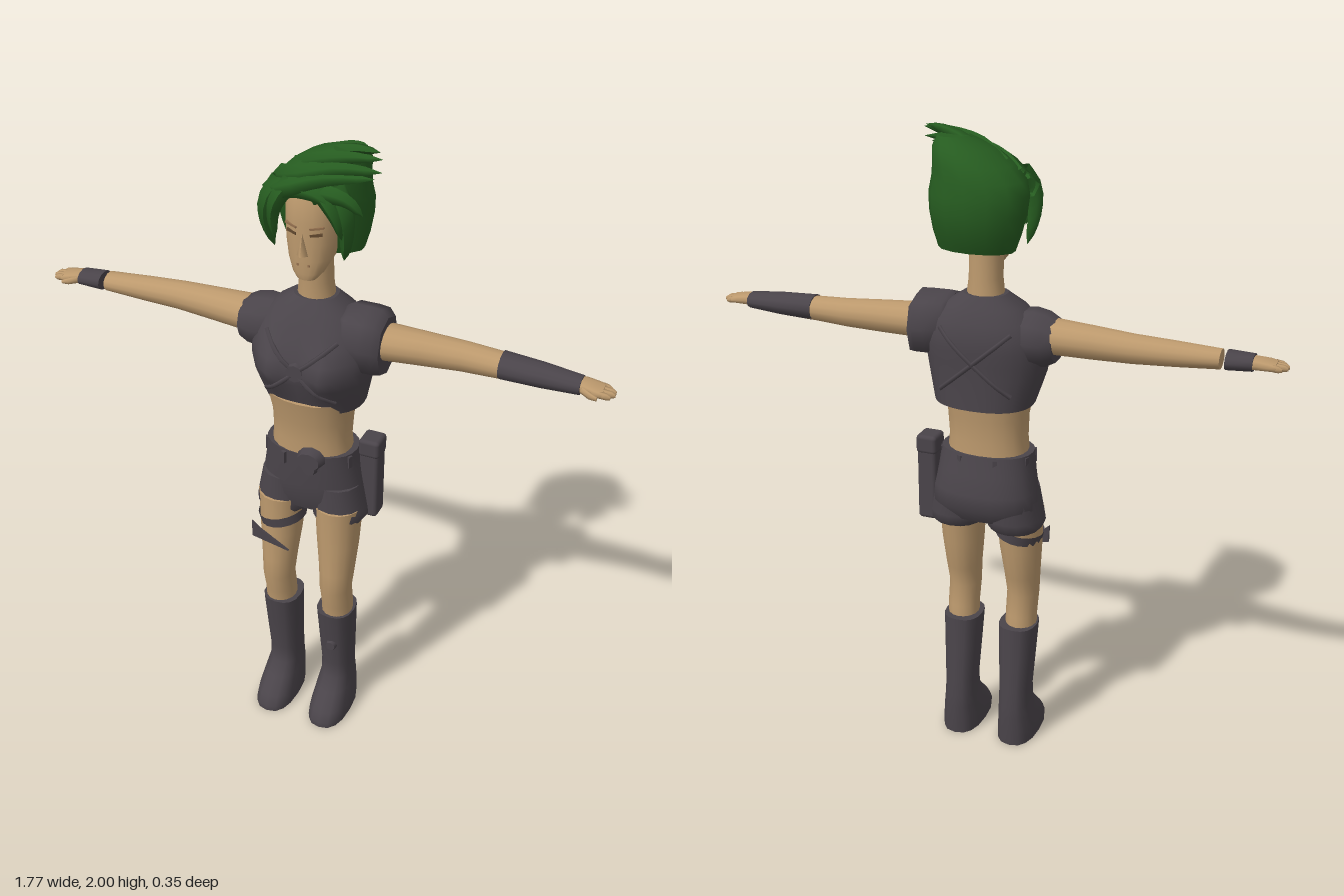
import * as THREE from 'three';
import { RoundedBoxGeometry } from 'three/addons/geometries/RoundedBoxGeometry.js';

const mat = (name, color, opts = {}) => {
  const m = new THREE.MeshStandardMaterial({ color, ...opts });
  m.name = name;
  return m;
};

// Loft through rings [y, cx, cz, rx, rz]; p is the squareness of the section
function loft(rings, n = 16, p = 2) {
  const pos = [], idx = [];
  const e = (v) => Math.sign(v) * Math.abs(v) ** (2 / p);
  const ring = ([y, cx, cz, rx, rz]) => {
    const start = pos.length / 3;
    for (let j = 0; j < n; j++) {
      const a = (j / n) * Math.PI * 2;
      pos.push(cx + rx * e(Math.sin(a)), y, cz + rz * e(Math.cos(a)));
    }
    return start;
  };
  rings.forEach((r, i) => {
    const s = ring(r);
    if (!i) return;
    for (let j = 0; j < n; j++) {
      const k = (j + 1) % n;
      idx.push(s - n + j, s - n + k, s + j, s - n + k, s + k, s + j);
    }
  });
  // caps with their own corners, so the rims stay sharp
  [rings[0], rings[rings.length - 1]].forEach((r, top) => {
    const s = ring(r), c = pos.length / 3;
    pos.push(r[1], r[0], r[2]);
    for (let j = 0; j < n; j++) {
      const k = (j + 1) % n;
      top ? idx.push(s + j, s + k, c) : idx.push(s + k, s + j, c);
    }
  });
  const g = new THREE.BufferGeometry();
  g.setAttribute('position', new THREE.Float32BufferAttribute(pos, 3));
  g.setIndex(idx);
  g.computeVertexNormals();
  return g;
}

// Loft along x on one side; rings [x, cy, cz, ry, rz]
const sideLoft = (s, rings, n, p) =>
  loft(rings.map(([x, cy, cz, ry, rz]) => [x, -s * cy, cz, ry, rz]), n, p).rotateZ(-s * Math.PI / 2);

// Tapered lock of hair along a curve
function lock(points, w) {
  const curve = new THREE.CatmullRomCurve3(points.map((q) => new THREE.Vector3(...q)));
  const segs = 8, sides = 5, g = new THREE.TubeGeometry(curve, segs, w, sides);
  const pa = g.attributes.position, v = new THREE.Vector3();
  for (let i = 0; i < pa.count; i++) {
    const t = Math.floor(i / (sides + 1)) / segs, c = curve.getPointAt(t);
    v.fromBufferAttribute(pa, i).sub(c).multiplyScalar(0.02 + 0.98 * Math.sqrt(1 - t)).add(c);
    pa.setXYZ(i, v.x, v.y, v.z);
  }
  g.computeVertexNormals();
  return g;
}

export function createModel() {
  const model = new THREE.Group();
  const skin = mat('skin', 0xbc996d);
  const cloth = mat('dark cloth', 0x4a444a, { side: THREE.DoubleSide });
  const green = mat('green hair', 0x265c20, { side: THREE.DoubleSide });
  const shade = mat('eye brown', 0x62492f);
  const lip = mat('lip', 0x94704f);
  const add = (name, geo, m, x = 0, y = 0, z = 0) => {
    const mesh = new THREE.Mesh(geo, m);
    mesh.name = name;
    mesh.position.set(x, y, z);
    model.add(mesh);
    return mesh;
  };

  // Head, neck and waist
  add('neck', loft([[1.5, 0, -0.025, 0.06, 0.055], [1.58, 0, -0.022, 0.05, 0.052], [1.7, 0, -0.015, 0.05, 0.055]]), skin);
  add('head', loft([
    [1.61, 0, 0.045, 0.028, 0.022], [1.63, 0, 0.03, 0.046, 0.042], [1.67, 0, 0.005, 0.066, 0.068],
    [1.72, 0, -0.012, 0.077, 0.086], [1.78, 0, -0.018, 0.082, 0.092], [1.85, 0, -0.02, 0.08, 0.09],
    [1.9, 0, -0.02, 0.055, 0.06]], 20, 2.2), skin);
  add('nose', new THREE.ConeGeometry(0.017, 0.065, 4), skin, 0, 1.722, 0.076);
  add('mouth', new THREE.BoxGeometry(0.04, 0.007, 0.008), lip, 0, 1.658, 0.067);
  for (const s of [-1, 1]) {
    const eye = add('eye', new THREE.BoxGeometry(0.034, 0.008, 0.008), shade, s * 0.036, 1.752, 0.064);
    eye.rotation.set(0, s * 0.3, s * 0.12);
    const brow = add('brow', new THREE.BoxGeometry(0.04, 0.006, 0.009), lip, s * 0.038, 1.772, 0.064);
    brow.rotation.set(0, s * 0.3, s * 0.15);
  }
  add('waist', loft([[1.0, 0, 0, 0.13, 0.095], [1.08, 0, 0.002, 0.122, 0.092], [1.15, 0.002, 0.004, 0.125, 0.098],
    [1.23, 0.003, 0.008, 0.14, 0.112]], 20, 2.2), skin);

  // Cropped top, with the bust pushed forward
  const topGeo = loft([
    [1.2, 0.004, -0.018, 0.152, 0.117], [1.25, 0.002, -0.01, 0.166, 0.124], [1.3, 0, -0.004, 0.179, 0.13],
    [1.34, 0, -0.003, 0.186, 0.132], [1.38, 0, -0.008, 0.188, 0.13], [1.42, 0, -0.014, 0.18, 0.122],
    [1.46, 0, -0.018, 0.16, 0.107], [1.5, 0, -0.02, 0.12, 0.085], [1.535, 0, -0.023, 0.066, 0.058]], 32, 2.3);
  const tp = topGeo.attributes.position;
  for (let i = 0; i < tp.count; i++) {
    if (tp.getZ(i) < 0.02) continue;
    const dx = (Math.abs(tp.getX(i)) - 0.085) / 0.05, dy = (tp.getY(i) - 1.345) / 0.065;
    tp.setZ(i, tp.getZ(i) + 0.042 * Math.exp(-dx * dx - dy * dy));
  }
  topGeo.computeVertexNormals();
  const top = add('croppedTop', topGeo, cloth);

  // Crossed straps laid on the top, front and back
  const ray = new THREE.Raycaster();
  const onTop = (x, y, s) => {
    ray.set(new THREE.Vector3(x, y, s), new THREE.Vector3(0, 0, -s));
    const hit = ray.intersectObject(top)[0];
    return new THREE.Vector3(x, y, hit ? hit.point.z : s * 0.1);
  };
  for (const s of [1, -1]) for (const d of [-1, 1]) {
    const pts = [-1, -0.66, -0.33, 0, 0.33, 0.66, 1].map((t) => onTop(t * 0.11, 1.345 + t * d * 0.095, s));
    add('chestStrap', new THREE.TubeGeometry(new THREE.CatmullRomCurve3(pts), 12, 0.008, 5), cloth);
  }
  add('chestRing', new THREE.CylinderGeometry(0.027, 0.03, 0.014, 10).rotateX(Math.PI / 2), cloth, 0, 1.345, onTop(0, 1.345, 1).z + 0.003);

  // Sleeves: a small one on the right, a larger pauldron on the left
  add('rightSleeve', sideLoft(-1, [[0.1, 1.42, -0.015, 0.075, 0.08], [0.15, 1.412, -0.015, 0.088, 0.09],
    [0.19, 1.41, -0.015, 0.082, 0.082], [0.222, 1.41, -0.015, 0.064, 0.07]], 10), cloth);
  add('leftPauldron', sideLoft(1, [[0.1, 1.44, -0.015, 0.075, 0.07], [0.115, 1.427, -0.015, 0.098, 0.09],
    [0.17, 1.422, -0.015, 0.102, 0.095], [0.205, 1.42, -0.015, 0.102, 0.09], [0.225, 1.41, -0.015, 0.09, 0.078]], 8, 2.4), cloth);

  // Arms and hands
  const armRings = [[0.12, 1.42, -0.015, 0.055, 0.065], [0.22, 1.422, -0.018, 0.053, 0.064], [0.33, 1.421, -0.025, 0.049, 0.054],
    [0.45, 1.42, -0.032, 0.043, 0.047], [0.57, 1.42, -0.028, 0.037, 0.043], [0.7, 1.42, -0.023, 0.029, 0.036]];
  for (const s of [-1, 1]) {
    const side = s > 0 ? 'left' : 'right';
    add(side + 'Arm', sideLoft(s, armRings, 14), skin);
    add(side + 'Palm', sideLoft(s, [[0.76, 1.42, -0.02, 0.02, 0.028], [0.8, 1.42, -0.018, 0.018, 0.032],
      [0.83, 1.418, -0.014, 0.015, 0.036], [0.852, 1.416, -0.014, 0.012, 0.034]], 10, 2.5), skin);
    [0.87, 0.884, 0.885, 0.875].forEach((tip, i) => {
      const z = -0.038 + i * 0.016;
      add(side + 'Finger', sideLoft(s, [[0.845, 1.417, z, 0.011, 0.009], [tip - 0.01, 1.415, z, 0.01, 0.008], [tip, 1.413, z, 0.005, 0.004]], 6), skin);
    });
    add(side + 'Thumb', sideLoft(s, [[0.79, 1.418, 0, 0.012, 0.012], [0.82, 1.414, 0.02, 0.011, 0.01], [0.842, 1.41, 0.025, 0.006, 0.005]], 6), skin);
  }
  add('leftBracer', sideLoft(1, [[0.56, 1.422, -0.028, 0.039, 0.047], [0.68, 1.42, -0.023, 0.034, 0.044], [0.79, 1.418, -0.018, 0.025, 0.037]], 12), cloth);
  add('rightWristband', sideLoft(-1, [[0.715, 1.42, -0.021, 0.028, 0.041], [0.79, 1.42, -0.018, 0.024, 0.037]], 12), cloth);

  // Shorts
  add('shorts', loft([
    [0.825, 0, -0.015, 0.15, 0.09], [0.87, 0, -0.022, 0.17, 0.112], [0.92, 0, -0.02, 0.164, 0.113],
    [0.98, 0, -0.01, 0.152, 0.106], [1.04, 0, -0.002, 0.145, 0.098]], 24, 2.3), cloth);
  for (const s of [-1, 1]) add('shortsCuff', loft([
    [0.79, s * 0.094, -0.004, 0.08, 0.09], [0.805, s * 0.094, -0.006, 0.089, 0.098],
    [0.83, s * 0.092, -0.01, 0.088, 0.102], [0.92, s * 0.085, -0.012, 0.078, 0.098]], 16, 2.2), cloth);
  for (let i = 0; i < 8; i++) {
    const a = ((i + 0.5) / 8) * Math.PI * 2;
    const loop = add('beltLoop', new THREE.BoxGeometry(0.014, 0.04, 0.012), cloth, 0.147 * Math.sin(a), 1.015, 0.102 * Math.cos(a));
    loop.rotation.y = a;
  }

  // Buckle and hip holster
  add('buckle', new THREE.CylinderGeometry(0.036, 0.046, 0.03, 10).rotateX(Math.PI / 2).scale(1, 0.8, 1), cloth, 0.035, 1.036, 0.108);
  add('buckleDrop', new THREE.CylinderGeometry(0.02, 0.026, 0.024, 8).rotateX(Math.PI / 2), cloth, 0.035, 1.005, 0.106);
  add('holster', new RoundedBoxGeometry(0.062, 0.28, 0.068, 2, 0.012), cloth, 0.178, 0.93, -0.042);
  add('holsterFlap', new RoundedBoxGeometry(0.067, 0.06, 0.074, 2, 0.012), cloth, 0.178, 1.04, -0.042);

  // Legs and boots
  for (const s of [-1, 1]) {
    const side = s > 0 ? 'left' : 'right';
    add(side + 'Leg', loft([
      [0.4, s * 0.1, 0.03, 0.05, 0.055], [0.46, s * 0.1, 0.034, 0.05, 0.056], [0.53, s * 0.1, 0.049, 0.051, 0.058],
      [0.6, s * 0.1, 0.039, 0.056, 0.066], [0.7, s * 0.098, 0.028, 0.066, 0.073], [0.84, s * 0.096, 0.02, 0.075, 0.08]], 16), skin);
    add(side + 'Boot', loft([
      [0, s * 0.097, 0.054, 0.064, 0.122], [0.02, s * 0.097, 0.054, 0.065, 0.123], [0.05, s * 0.097, 0.045, 0.063, 0.114],
      [0.1, s * 0.096, 0.02, 0.057, 0.09], [0.14, s * 0.095, 0.004, 0.051, 0.071], [0.2, s * 0.095, 0.003, 0.05, 0.067],
      [0.32, s * 0.095, 0.015, 0.056, 0.069], [0.425, s * 0.095, 0.025, 0.061, 0.071]], 16, 2.5), cloth);
  }
  add('bootStud', new THREE.CylinderGeometry(0.016, 0.02, 0.016, 8).rotateX(Math.PI / 2), cloth, 0.1, 0.295, 0.083);

  // Strap and pointed flap on the right thigh
  const strap = add('thighStrap', new THREE.CylinderGeometry(0.076, 0.074, 0.032, 18, 1, true).scale(1, 1, 1.06), cloth, -0.094, 0.755, 0.026);
  strap.rotation.z = 0.2;
  const flap = new THREE.Shape([[-0.166, 0.745], [-0.14, 0.722], [-0.04, 0.664], [-0.164, 0.688]].map((q) => new THREE.Vector2(...q)));
  add('thighFlap', new THREE.ExtrudeGeometry(flap, { depth: 0.008, bevelEnabled: false }), cloth, 0, 0, 0.1);

  // Hair: main mass, leaning to the left at the crown
  add('hairMass', loft([
    [1.672, 0.01, -0.068, 0.115, 0.066], [1.72, 0.008, -0.07, 0.13, 0.09], [1.78, 0.006, -0.068, 0.143, 0.106],
    [1.83, 0.006, -0.06, 0.147, 0.112], [1.87, 0.01, -0.048, 0.138, 0.118], [1.91, 0.028, -0.045, 0.118, 0.11],
    [1.95, 0.06, -0.04, 0.09, 0.088], [1.98, 0.095, -0.03, 0.045, 0.05]], 14), green);

  // Locks swept over the brow, then hanging fringe, then crown spikes
  const locks = [
    [[[-0.12, 1.84, 0], [-0.06, 1.87, 0.065], [0.06, 1.92, 0.075], [0.2, 1.94, 0.06]], 0.034],
    [[[-0.1, 1.87, -0.02], [-0.02, 1.91, 0.05], [0.1, 1.95, 0.06], [0.215, 1.955, 0.045]], 0.034],
    [[[-0.06, 1.9, -0.03], [0.03, 1.95, 0.02], [0.12, 1.975, 0.03], [0.21, 1.985, 0.03]], 0.03],
    [[[-0.02, 1.91, -0.06], [0.06, 1.965, -0.03], [0.13, 1.988, -0.01], [0.195, 1.995, 0.01]], 0.026],
    [[[0.02, 1.86, 0.04], [0.08, 1.88, 0.07], [0.13, 1.87, 0.07], [0.17, 1.83, 0.06]], 0.032],
    [[[-0.08, 1.88, 0.03], [-0.11, 1.83, 0.055], [-0.12, 1.76, 0.045], [-0.11, 1.675, 0.02]], 0.034],
    [[[-0.04, 1.89, 0.05], [-0.07, 1.85, 0.075], [-0.09, 1.79, 0.07], [-0.09, 1.72, 0.06]], 0.03],
    [[[0.08, 1.89, 0.04], [0.115, 1.83, 0.055], [0.12, 1.76, 0.045], [0.105, 1.675, 0.03]], 0.036],
    [[[0.03, 1.89, 0.05], [0.07, 1.86, 0.075], [0.1, 1.81, 0.075], [0.11, 1.75, 0.06]], 0.028],
    [[[-0.08, 1.86, 0.04], [-0.01, 1.88, 0.072], [0.06, 1.87, 0.082], [0.1, 1.83, 0.075]], 0.03],
  ];
  locks.forEach(([pts, w]) => add('hairLock', lock(pts, w), green));
  return model;
}
